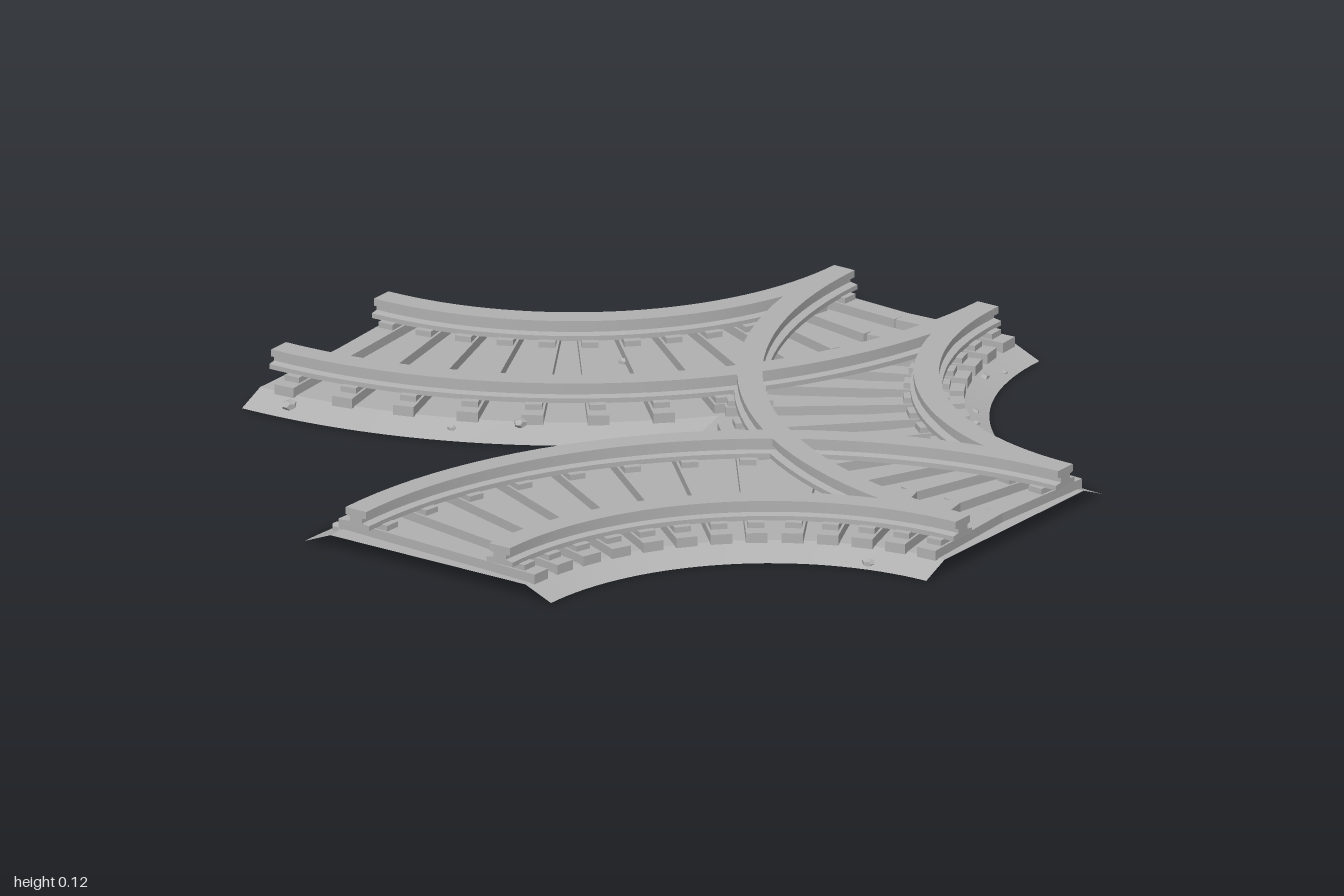
import * as THREE from 'three';
import { toCreasedNormals } from 'three/addons/utils/BufferGeometryUtils.js';

const Q = Math.PI / 2;
const BED = 0.033;
const stone = new THREE.MeshStandardMaterial({ color: 0xb0b0b0, side: THREE.DoubleSide });
stone.name = 'plain grey';

// Angular limits at radius r, trimmed where a neighbouring curve takes over
function limits(r, clipStart, clipEnd) {
  const a = r > 1 ? Math.acos(1 / r) : 0;
  return [clipStart ? a : 0, clipEnd ? Q - a : Q];
}

function add(parent, geometry, name) {
  const mesh = new THREE.Mesh(geometry, stone);
  mesh.name = name;
  parent.add(mesh);
  return mesh;
}

// Thin ballast sheet with sloping shoulders, swept through a quarter turn
function bedGeometry(clipStart, clipEnd) {
  const rows = [[0.64, 0.002], [0.715, BED]];
  for (const r of [0.8, 0.9, 1, 1.03, 1.08, 1.15, 1.22]) rows.push([r, BED]);
  rows.push([1.285, BED], [1.36, 0.002]);
  const n = 32, pos = [], idx = [];
  rows.forEach(([r, y], i) => {
    const [a, b] = limits(r, clipStart, clipEnd);
    for (let j = 0; j <= n; j++) {
      const t = a + (b - a) * j / n;
      pos.push(r * Math.sin(t), y, r * Math.cos(t));
      if (i && j) {
        const k = i * (n + 1) + j, d = k - n - 1;
        idx.push(d - 1, k - 1, d, k - 1, k, d);
      }
    }
  });
  const g = new THREE.BufferGeometry();
  g.setAttribute('position', new THREE.Float32BufferAttribute(pos, 3));
  g.setIndex(idx);
  return toCreasedNormals(g, 0.2);
}

// I-shaped rail with end caps
function addRail(parent, radius, name) {
  const half = [[0.038, 0.068], [0.038, 0.08], [0.018, 0.083], [0.018, 0.094], [0.03, 0.097], [0.03, 0.115]];
  const pts = [
    ...half.map(([w, y]) => new THREE.Vector2(radius + w, y)),
    ...half.slice().reverse().map(([w, y]) => new THREE.Vector2(radius - w, y)),
  ];
  const rail = new THREE.Group();
  rail.name = name;
  parent.add(rail);
  add(rail, toCreasedNormals(new THREE.LatheGeometry([...pts, pts[0].clone()], 32, 0, Q), 0.3), 'railBody');
  const cap = new THREE.ShapeGeometry(new THREE.Shape(pts));
  add(rail, cap, 'railEnd');
  add(rail, cap, 'railEnd').rotation.y = -Q;
}

// Box lying along a radius between r0 and r1
function addRadialBox(parent, angle, r0, r1, width, y0, y1, name) {
  const g = new THREE.BoxGeometry(width, y1 - y0, r1 - r0);
  g.translate(0, (y0 + y1) / 2, (r0 + r1) / 2);
  add(parent, g, name).rotation.y = angle;
}

function addCurve(parent, name, x, z, turn, clipStart, clipEnd) {
  const curve = new THREE.Group();
  curve.name = name;
  curve.position.set(x, 0, z);
  curve.rotation.y = turn;
  parent.add(curve);
  add(curve, bedGeometry(clipStart, clipEnd), 'ballastBed');
  addRail(curve, 0.79, 'innerRail');
  addRail(curve, 1.21, 'outerRail');

  // Sleepers, shortened where they meet those of the next curve
  const count = 13;
  for (let i = 0; i < count; i++) {
    const t = (i + 0.5) / count * Q;
    let end = 1.3;
    if (clipStart) end = Math.min(end, 1 / Math.cos(t));
    if (clipEnd) end = Math.min(end, 1 / Math.sin(t));
    addRadialBox(curve, t, 0.7, end, 0.052, BED - 0.002, 0.056, 'sleeper');
    for (const r of [0.79, 1.21]) {
      if (r + 0.05 < end) addRadialBox(curve, t, r - 0.055, r + 0.055, 0.04, 0.055, 0.07, 'railChair');
    }
  }
}

export function createModel() {
  const model = new THREE.Group();
  model.name = 'trackJunction';
  addCurve(model, 'rightCurve', -1, 1, Q, true, false);
  addCurve(model, 'frontCurve', 1, 1, 2 * Q, true, true);
  addCurve(model, 'backCurve', 1, -1, 3 * Q, false, true);

  // Loose pebbles: x, z, size, resting height
  const pebbles = [
    [-0.32, -0.89, 0.022, 0.018], [-0.23, -0.48, 0.012, 0.024], [-0.13, -0.35, 0.02, BED],
    [-0.05, -0.55, 0.02, BED], [0.18, -0.24, 0.022, BED], [0.35, -0.39, 0.016, BED],
    [0.36, -0.85, 0.018, 0.006], [0.57, -0.46, 0.018, 0.02], [-0.93, -0.31, 0.022, 0.022],
    [-0.44, -0.2, 0.013, 0.015], [-0.38, -0.18, 0.012, 0.02], [-0.33, -0.14, 0.016, 0.02],
    [-0.06, 0.09, 0.016, 0.02], [-0.01, 0.1, 0.016, 0.012], [0.53, -0.03, 0.014, BED],
    [-0.36, 0.35, 0.01, BED], [0.22, 0.53, 0.01, BED], [0.8, 0.34, 0.018, 0.015],
    [0.87, 0.35, 0.01, 0.008], [0.61, 0.45, 0.014, 0.01], [0.54, 0.5, 0.014, 0.012],
    [0.42, 0.64, 0.012, 0.015], [0.31, 0.87, 0.012, 0.025], [-0.36, 0.83, 0.018, 0.008],
  ];
  const rock = new THREE.DodecahedronGeometry(1, 0);
  pebbles.forEach(([x, z, s, y], i) => {
    const p = add(model, rock, 'pebble');
    p.position.set(x, y + s * 0.2, z);
    p.scale.set(s, s * 0.6, s * 0.8);
    p.rotation.y = i * 1.7;
  });
  return model;
}
